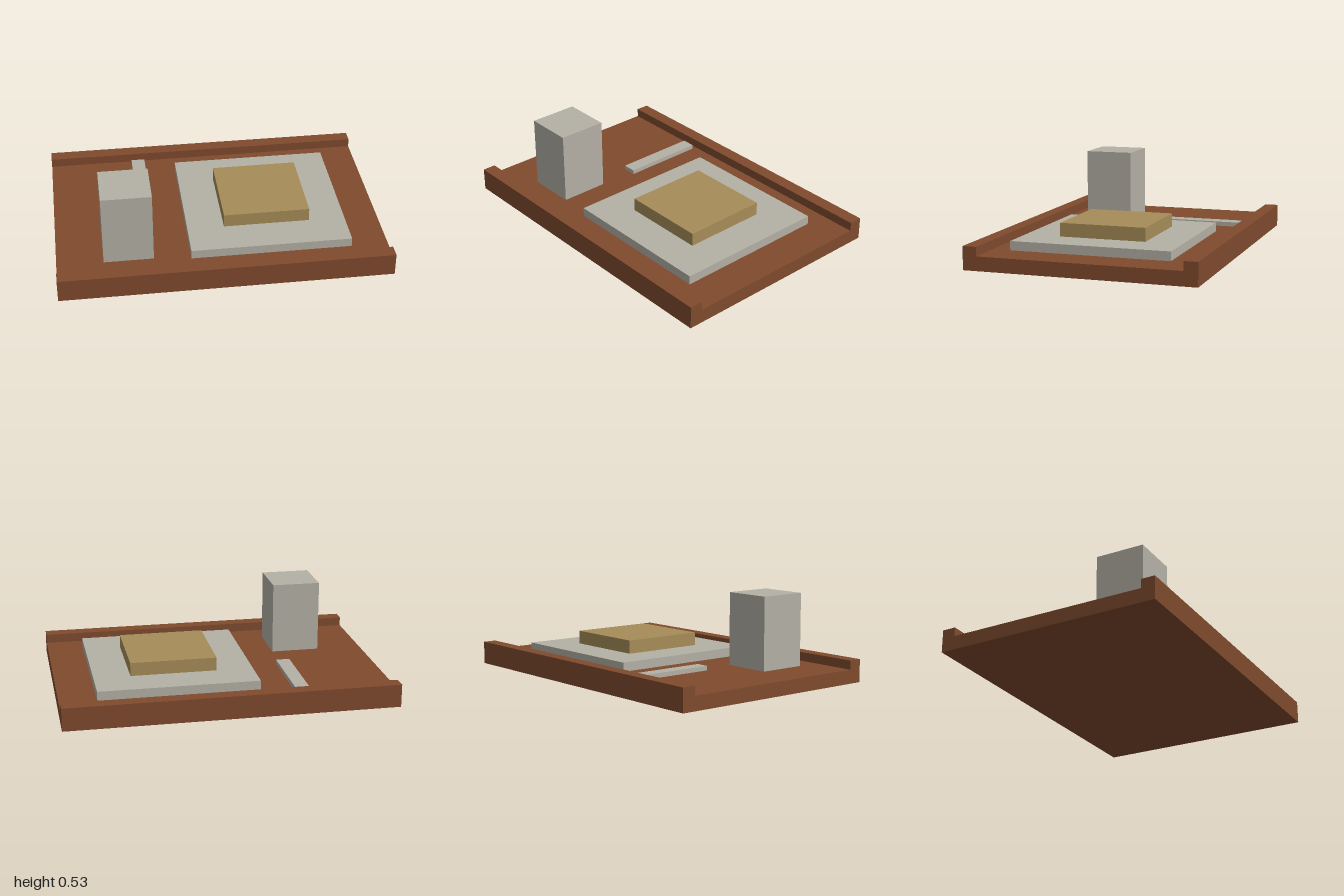
import * as THREE from 'three';

const wood = new THREE.MeshStandardMaterial({ color: 0x7f4a2d });
wood.name = 'brown wood';
const stone = new THREE.MeshStandardMaterial({ color: 0xb4b0a5 });
stone.name = 'pale grey';
const brass = new THREE.MeshStandardMaterial({ color: 0xa68c58 });
brass.name = 'dull gold';

const FLOOR = 0.085, RIM = 0.14, HALF = 0.693, INNER = 0.61;

// Box given by its extents on each axis
function block(name, material, [x0, x1], [y0, y1], [z0, z1]) {
  const mesh = new THREE.Mesh(new THREE.BoxGeometry(x1 - x0, y1 - y0, z1 - z0), material);
  mesh.position.set((x0 + x1) / 2, (y0 + y1) / 2, (z0 + z1) / 2);
  mesh.name = name;
  return mesh;
}

// Tray with a raised rail along front and back, open at both ends
function tray() {
  const profile = new THREE.Shape([
    [-HALF, 0], [HALF, 0], [HALF, RIM], [INNER, RIM],
    [INNER, FLOOR], [-INNER, FLOOR], [-INNER, RIM], [-HALF, RIM],
  ].map(([z, y]) => new THREE.Vector2(z, y)));
  const geometry = new THREE.ExtrudeGeometry(profile, { depth: 2, bevelEnabled: false });
  geometry.translate(0, 0, -1).rotateY(Math.PI / 2);
  const mesh = new THREE.Mesh(geometry, wood);
  mesh.name = 'tray';
  return mesh;
}

export function createModel() {
  const model = new THREE.Group();
  model.name = 'trayWithBlocks';
  model.add(
    tray(),
    block('plinth', stone, [-0.198, 0.776], [FLOOR, RIM], [-0.473, 0.499]),
    block('plinthTop', brass, [0.027, 0.553], [RIM, 0.222], [-0.251, 0.277]),
    block('tallBlock', stone, [-0.72, -0.42], [FLOOR, 0.53], [0.168, 0.47]),
    block('thinBar', stone, [-0.475, -0.39], [FLOOR, 0.112], [-0.582, -0.06]),
  );
  return model;
}
